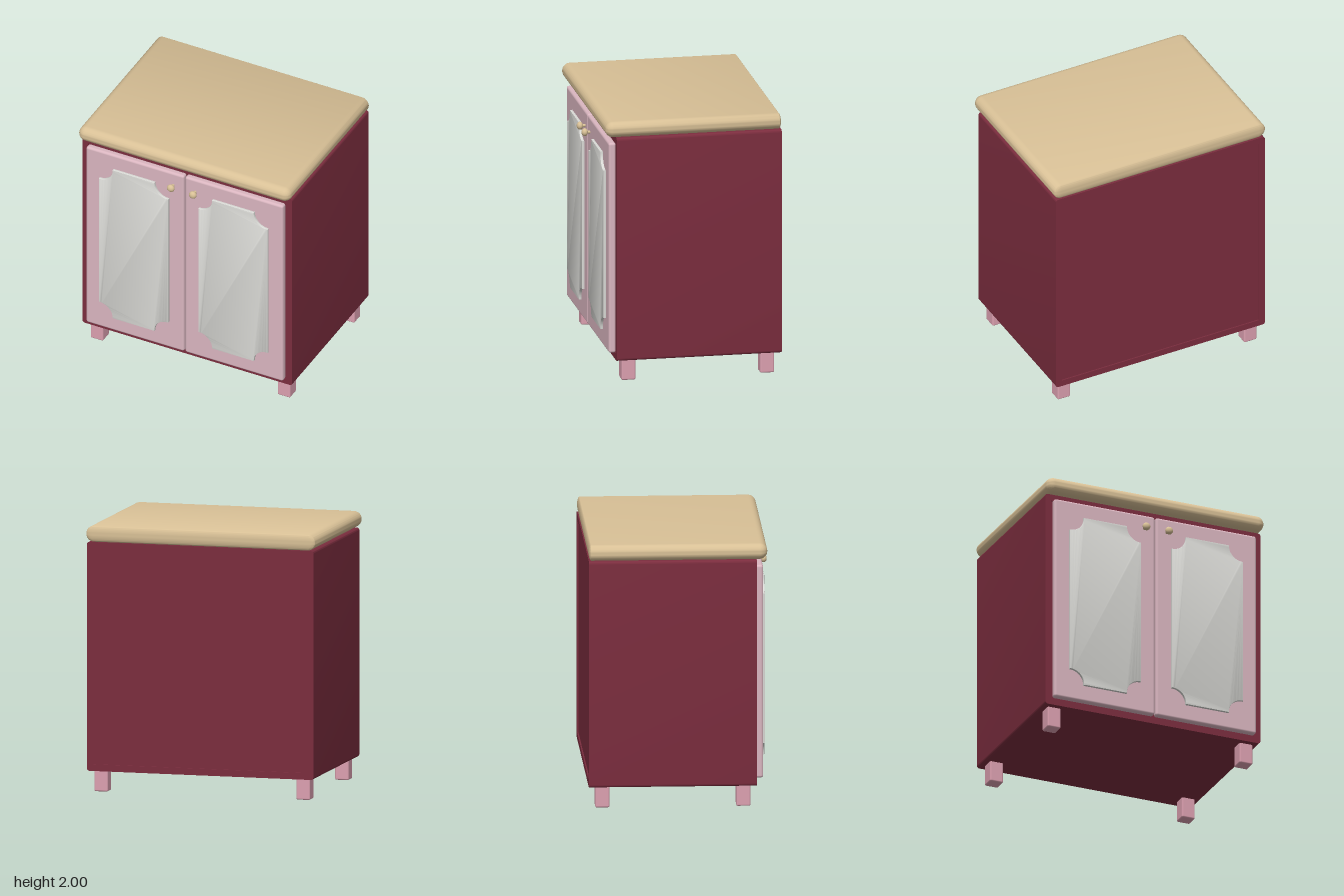
import * as THREE from 'three';
import { RoundedBoxGeometry } from 'three/addons/geometries/RoundedBoxGeometry.js';
import { toCreasedNormals } from 'three/addons/utils/BufferGeometryUtils.js';

const material = (name, color) => {
  const m = new THREE.MeshStandardMaterial({ color });
  m.name = name;
  return m;
};

// Rectangle outline with rounded corners
function roundedRect(w, h, r) {
  const s = new THREE.Shape(), x = w / 2, y = h / 2;
  s.absarc(x - r, y - r, r, 0, Math.PI / 2);
  s.absarc(r - x, y - r, r, Math.PI / 2, Math.PI);
  s.absarc(r - x, r - y, r, Math.PI, Math.PI * 1.5);
  s.absarc(x - r, r - y, r, Math.PI * 1.5, Math.PI * 2);
  s.closePath();
  return s;
}

// Panel outline with a small step and a scooped quarter circle at each corner
function scoopedRect(w, h, r) {
  const s = new THREE.Shape(), x = w / 2, y = h / 2, a = 0.13, q = Math.PI / 2;
  s.moveTo(x, r - y);
  s.lineTo(x, y - r);
  s.absarc(x, y, r, 3 * q - a, 2 * q + a, true);
  s.lineTo(x - r, y);
  s.lineTo(r - x, y);
  s.absarc(-x, y, r, -a, a - q, true);
  s.lineTo(-x, y - r);
  s.lineTo(-x, r - y);
  s.absarc(-x, -y, r, q - a, a, true);
  s.lineTo(r - x, -y);
  s.lineTo(x - r, -y);
  s.absarc(x, -y, r, 2 * q - a, q + a, true);
  s.lineTo(x, r - y);
  return s;
}

export function createModel() {
  const group = new THREE.Group();
  group.name = 'cabinet';
  const burgundy = material('burgundy', 0x7b2d3e);
  const palePink = material('pale pink', 0xdab6c0);
  const rosePink = material('rose pink', 0xdca0b0);
  const lightGrey = material('light grey', 0xdadad6);
  const wood = material('light wood', 0xd8c096);

  const add = (name, geometry, mat, x, y, z) => {
    const mesh = new THREE.Mesh(geometry, mat);
    mesh.name = name;
    mesh.position.set(x, y, z);
    group.add(mesh);
    return mesh;
  };

  // Carcass: a rounded shell open front and back, closed by slightly inset boards
  const shell = roundedRect(1.75, 1.72, 0.02);
  const opening = new THREE.Path([
    new THREE.Vector2(-0.825, -0.81), new THREE.Vector2(-0.825, 0.81),
    new THREE.Vector2(0.825, 0.81), new THREE.Vector2(0.825, -0.81)]);
  shell.holes.push(opening);
  const shellGeo = new THREE.ExtrudeGeometry(shell, { depth: 1.25, bevelEnabled: false, curveSegments: 5 });
  add('carcass', toCreasedNormals(shellGeo, 0.6), burgundy, 0, 1.02, -0.68);
  add('backBoard', new THREE.BoxGeometry(1.65, 1.62, 0.02), burgundy, 0, 1.02, -0.66);
  add('frontBoard', new THREE.BoxGeometry(1.65, 1.62, 0.02), burgundy, 0, 1.02, 0.55);

  // Worktop: full round at front and sides, tighter round along the back
  const topGeo = new RoundedBoxGeometry(1.77, 0.12, 1.37, 6, 0.0599);
  const p = topGeo.attributes.position;
  for (let i = 0; i < p.count; i++) {
    const over = -0.625 - p.getZ(i);
    if (over > 0) p.setZ(i, -0.625 - over / 3);
  }
  add('worktop', toCreasedNormals(topGeo, 0.8), wood, 0, 1.94, -0.035);

  // Doors with raised panels and knobs
  const panelGeo = toCreasedNormals(new THREE.ExtrudeGeometry(scoopedRect(0.57, 1.36, 0.115), {
    depth: 0.02, bevelThickness: 0.005, bevelSize: 0.005, bevelSegments: 2, curveSegments: 12
  }), 0.6);
  for (const side of [-1, 1]) {
    const label = side > 0 ? 'left' : 'right';
    add(label + 'Door', new RoundedBoxGeometry(0.818, 1.62, 0.055, 4, 0.018), palePink, side * 0.413, 1.02, 0.5925);
    add(label + 'DoorPanel', panelGeo, lightGrey, side * 0.415, 1.02, 0.615);
    const stem = add(label + 'KnobStem', new THREE.CylinderGeometry(0.012, 0.012, 0.04, 16), wood, side * 0.092, 1.72, 0.635);
    stem.rotation.x = Math.PI / 2;
    const knob = add(label + 'Knob', new THREE.SphereGeometry(0.03, 24, 16), wood, side * 0.092, 1.72, 0.66);
    knob.scale.z = 0.8;

    // Feet
    for (const [end, z] of [['Front', 0.472], ['Back', -0.578]]) {
      add(label + end + 'Foot', new RoundedBoxGeometry(0.106, 0.17, 0.106, 3, 0.012), rosePink, side * 0.781, 0.085, z);
    }
  }
  return group;
}
